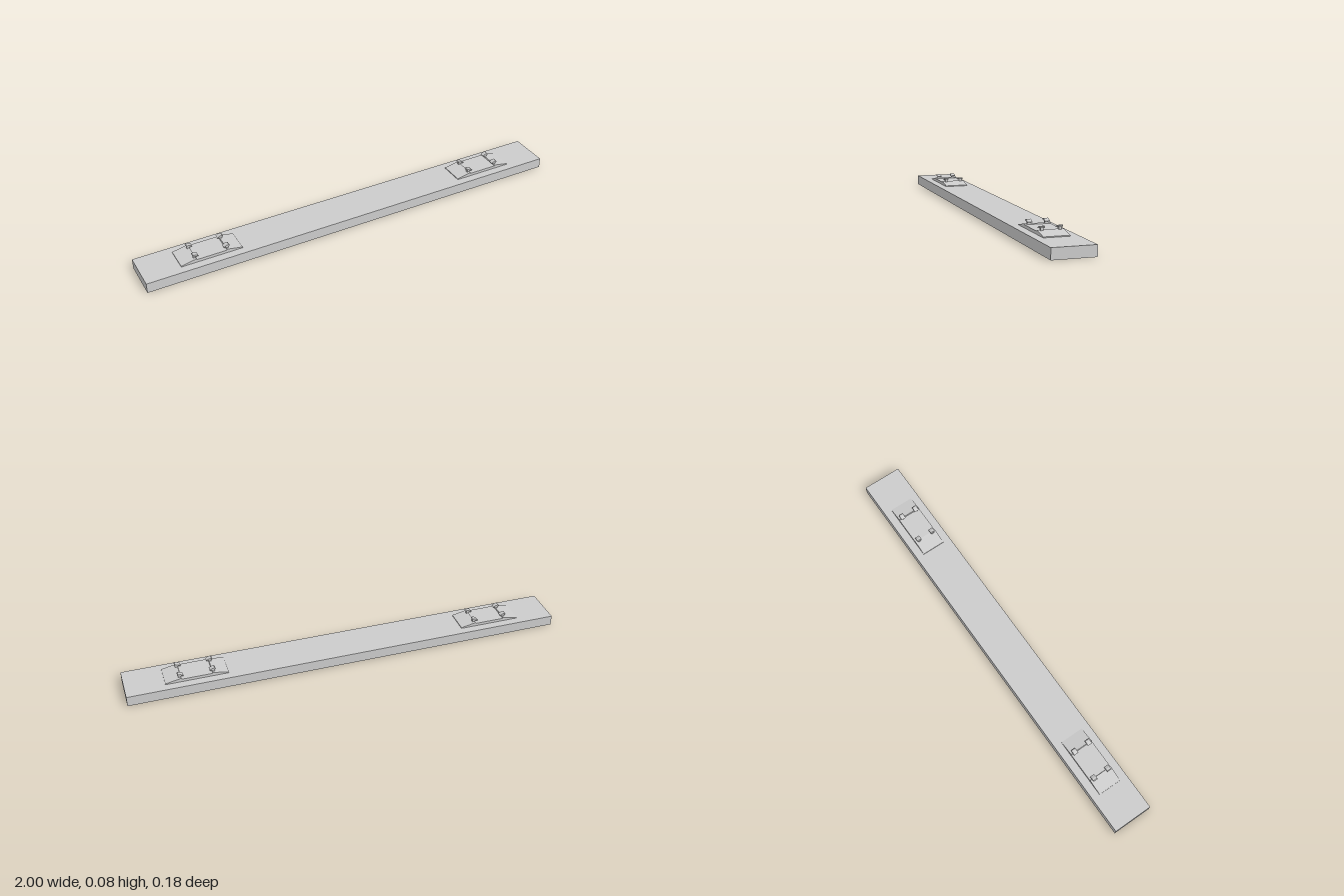
import * as THREE from 'three';

const material = new THREE.MeshStandardMaterial({ color: 0xcccccc, flatShading: true, side: THREE.DoubleSide });

function extrude(name, points, width) {
  const shape = new THREE.Shape(points.map(([x, y]) => new THREE.Vector2(x, y)));
  const geometry = new THREE.ExtrudeGeometry(shape, { depth: width, bevelEnabled: false });
  geometry.translate(0, 0, -width / 2);
  const mesh = new THREE.Mesh(geometry, material);
  mesh.name = name;
  return mesh;
}

// Hollow sleeper: a thin box without its bottom face
function createSleeper() {
  const geometry = new THREE.BoxGeometry(2, 0.047, 0.184).toNonIndexed();
  geometry.translate(0, 0.0235, 0);
  const open = new THREE.BufferGeometry();
  for (const key of ['position', 'normal']) {
    const a = Array.from(geometry.attributes[key].array);
    a.splice(18 * 3, 18); // drop the downward face
    open.setAttribute(key, new THREE.Float32BufferAttribute(a, 3));
  }
  const mesh = new THREE.Mesh(open, material);
  mesh.name = 'sleeper';
  return mesh;
}

// Square spike whose sloped head hooks over toward +x
function createSpike() {
  const spike = new THREE.Group();
  spike.name = 'railSpike';
  const shank = new THREE.Mesh(new THREE.BoxGeometry(0.012, 0.032, 0.012), material);
  shank.name = 'spikeShank';
  shank.position.y = 0.06;
  const head = extrude('spikeHead', [
    [-0.008, 0.074], [0.016, 0.07], [0.017, 0.073], [0.004, 0.08], [-0.006, 0.081], [-0.01, 0.078],
  ], 0.021);
  spike.add(shank, head);
  return spike;
}

// Tie plate with tapered ends, two shoulders and a recessed rail seat
function createFastening(x) {
  const group = new THREE.Group();
  group.name = 'railFastening';
  group.position.x = x;
  const half = [[0.14, 0.047], [0.14, 0.051], [0.078, 0.063], [0.07, 0.065], [0.068, 0.06]];
  const mirrored = half.map(([px, py]) => [-px, py]).reverse();
  group.add(extrude('tiePlate', [...half, ...mirrored], 0.11));
  for (const side of [-1, 1]) {
    for (const z of [-0.037, 0.037]) {
      const spike = createSpike();
      spike.position.set(side * 0.074, 0, z);
      if (side > 0) spike.rotation.y = Math.PI;
      group.add(spike);
    }
  }
  return group;
}

export function createModel() {
  const model = new THREE.Group();
  model.name = 'railwaySleeper';
  model.add(createSleeper(), createFastening(-0.694), createFastening(0.687));
  return model;
}
